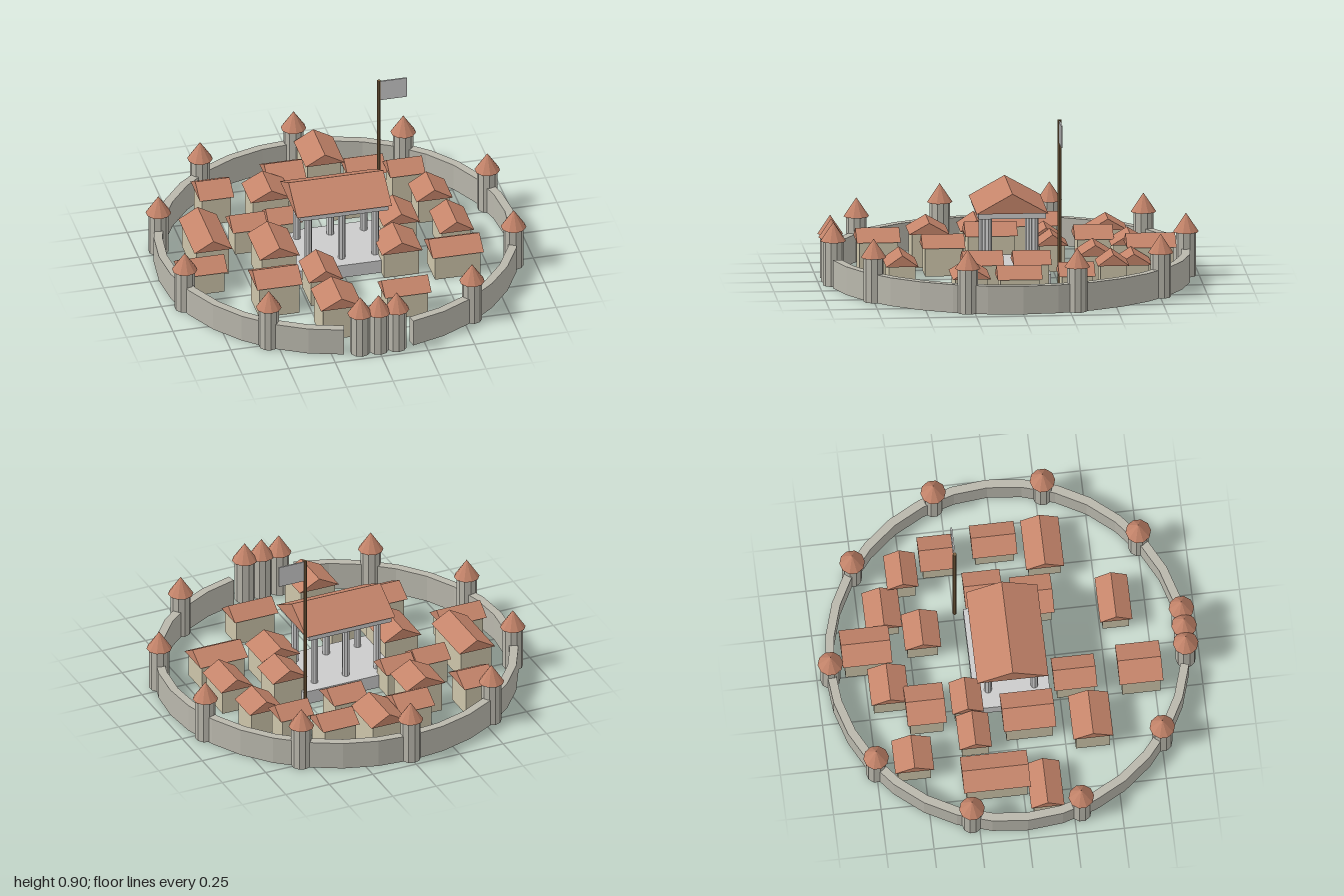
import * as THREE from 'three';

const mat = (color) => new THREE.MeshStandardMaterial({ color, flatShading: true });
const stone = mat(0xb9b7ac), marble = mat(0xcccccc), tile = mat(0xc4846a);
const plaster = mat(0xcdc5aa), wood = mat(0x7a6040);

function add(parent, name, geometry, material, x = 0, y = 0, z = 0) {
  const mesh = new THREE.Mesh(geometry, material);
  mesh.name = name;
  mesh.position.set(x, y, z);
  parent.add(mesh);
  return mesh;
}

// Gable roof prism with its base at y = 0; the ridge runs along x or z
function gable(w, d, rise, ridge) {
  const [span, length] = ridge === 'z' ? [w, d] : [d, w];
  const s = new THREE.Shape();
  s.moveTo(-span / 2, 0);
  s.lineTo(span / 2, 0);
  s.lineTo(0, rise);
  s.closePath();
  const g = new THREE.ExtrudeGeometry(s, { depth: length, bevelEnabled: false });
  g.translate(0, 0, -length / 2);
  if (ridge === 'x') g.rotateY(Math.PI / 2);
  return g;
}

// Ring wall with an opening at the front
function ringWall() {
  const steps = 30, gap = Math.PI / 16, outer = 0.953, inner = 0.908;
  const pts = [];
  const arc = (r, i) => {
    const a = gap + (i / steps) * (2 * Math.PI - 2 * gap);
    return new THREE.Vector2(r * Math.sin(a), -r * Math.cos(a));
  };
  for (let i = 0; i <= steps; i++) pts.push(arc(outer, i));
  for (let i = steps; i >= 0; i--) pts.push(arc(inner, i));
  const g = new THREE.ExtrudeGeometry(new THREE.Shape(pts), { depth: 0.15, bevelEnabled: false });
  return g.rotateX(-Math.PI / 2);
}

function tower(parent, name, x, z) {
  const t = new THREE.Group();
  t.name = name;
  t.position.set(x, 0, z);
  add(t, 'towerShaft', new THREE.CylinderGeometry(0.053, 0.053, 0.235, 10), stone, 0, 0.1175, 0);
  add(t, 'towerRoof', new THREE.ConeGeometry(0.067, 0.1, 10), tile, 0, 0.285, 0);
  parent.add(t);
}

// Roof outline x0, x1, z0, z1, ridge height, ridge direction
const HOUSES = [
  [-0.62, -0.435, -0.66, -0.455, 0.22, 'x'],
  [-0.23, -0.025, -0.74, -0.54, 0.22, 'x'],
  [-0.015, 0.195, -0.865, -0.605, 0.25, 'z'],
  [0.195, 0.405, -0.72, -0.53, 0.2, 'x'],
  [0.395, 0.585, -0.585, -0.42, 0.235, 'x'],
  [0.055, 0.255, -0.53, -0.34, 0.22, 'x'],
  [-0.37, -0.145, -0.565, -0.36, 0.23, 'z'],
  [-0.77, -0.565, -0.315, 0.035, 0.22, 'z'],
  [-0.52, -0.33, -0.31, -0.14, 0.2, 'x'],
  [-0.32, -0.14, -0.325, -0.16, 0.2, 'x'],
  [0.485, 0.68, -0.4, -0.21, 0.2, 'z'],
  [0.53, 0.715, -0.12, 0.115, 0.195, 'z'],
  [0.25, 0.45, -0.19, 0.01, 0.22, 'z'],
  [0.18, 0.4, 0.055, 0.27, 0.21, 'z'],
  [0.435, 0.71, 0.15, 0.35, 0.2, 'x'],
  [-0.88, -0.63, 0.025, 0.2, 0.185, 'x'],
  [-0.46, -0.245, -0.07, 0.205, 0.235, 'z'],
  [-0.255, -0.07, 0.22, 0.445, 0.21, 'z'],
  [-0.545, -0.3, 0.285, 0.495, 0.24, 'x'],
  [-0.275, -0.05, 0.56, 0.79, 0.25, 'z'],
  [0.1, 0.35, 0.5, 0.67, 0.2, 'x'],
];
HOUSES[7][3] = 0.035;

function house(parent, [x0, x1, z0, z1, top, ridge]) {
  const w = x1 - x0, d = z1 - z0, rise = 0.06, eave = top - rise;
  const h = new THREE.Group();
  h.name = 'house';
  h.position.set((x0 + x1) / 2, 0, (z0 + z1) / 2);
  add(h, 'houseWalls', new THREE.BoxGeometry(w - 0.03, eave, d - 0.03), plaster, 0, eave / 2, 0);
  add(h, 'houseRoof', gable(w, d, rise, ridge), tile, 0, eave, 0);
  parent.add(h);
}

export function createModel() {
  const town = new THREE.Group();
  town.name = 'walledTown';

  // Fortification: wall, ten evenly spaced towers and two extra gate towers
  add(town, 'ringWall', ringWall(), stone);
  for (let i = 0; i < 10; i++) {
    const a = (i * Math.PI) / 5;
    tower(town, 'wallTower', 0.93 * Math.sin(a), 0.93 * Math.cos(a));
  }
  for (const s of [-1, 1]) tower(town, 'gateTower', s * 0.098, 0.927);

  for (const h of HOUSES) house(town, h);

  // Open hall: platform, columns, beam slab and gable roof
  const hall = new THREE.Group();
  hall.name = 'columnHall';
  add(hall, 'platform', new THREE.BoxGeometry(0.56, 0.075, 0.4), marble, 0, 0.0375, 0);
  for (const x of [-0.18, 0, 0.18]) {
    for (const z of [-0.122, 0.122]) {
      add(hall, 'column', new THREE.CylinderGeometry(0.02, 0.02, 0.29, 8), marble, x, 0.22, z);
    }
  }
  add(hall, 'beamSlab', new THREE.BoxGeometry(0.475, 0.03, 0.355), marble, 0, 0.38, 0);
  add(hall, 'hallRoof', gable(0.51, 0.375, 0.105, 'x'), tile, 0, 0.395, 0);
  town.add(hall);

  // Flagpole
  add(town, 'flagpole', new THREE.CylinderGeometry(0.01, 0.01, 0.9, 8), wood, 0.29, 0.45, -0.243);
  add(town, 'flag', new THREE.BoxGeometry(0.145, 0.115, 0.008), marble, 0.368, 0.838, -0.243);
  return town;
}
